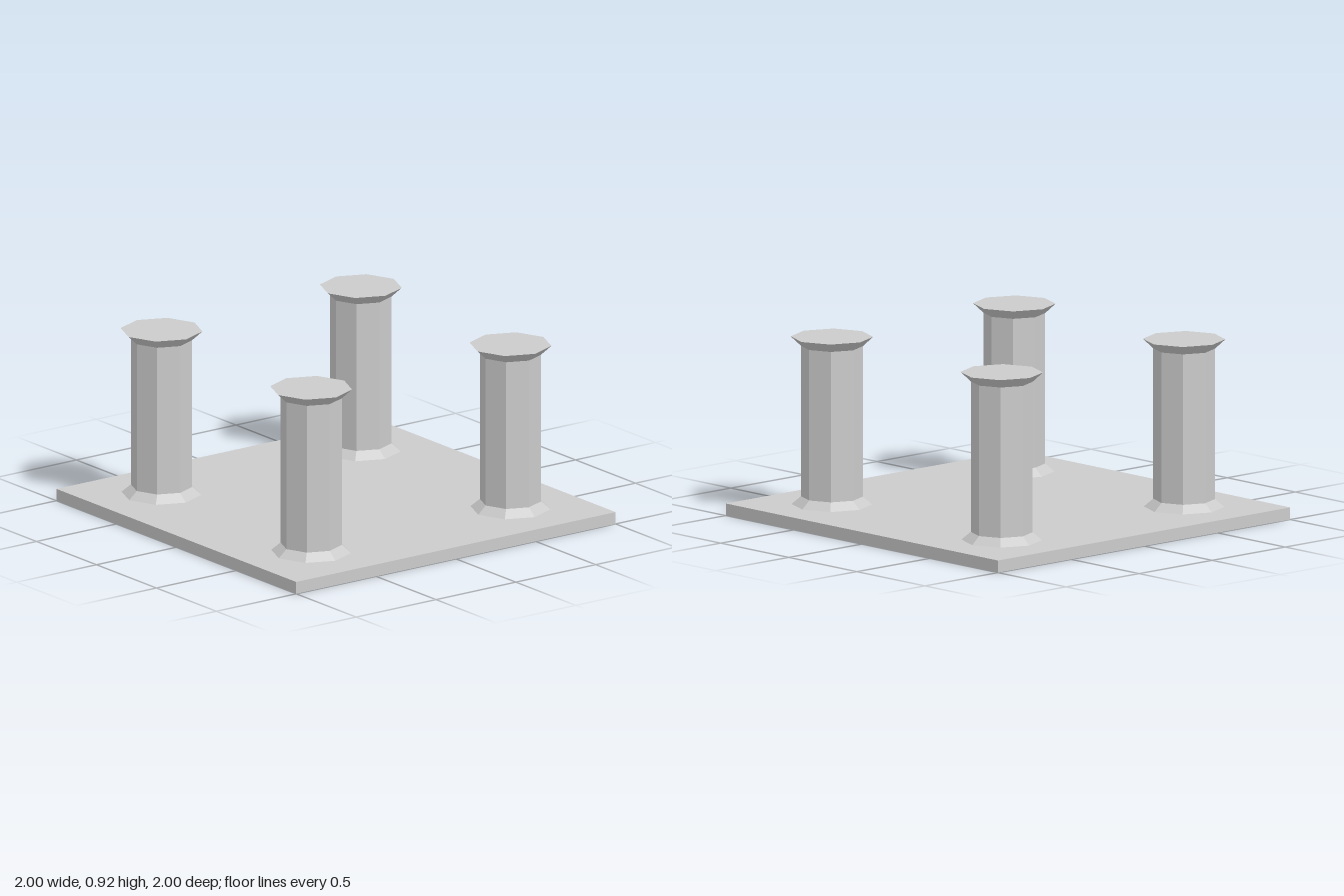
import * as THREE from 'three';

const material = new THREE.MeshStandardMaterial({ color: 0xcccccc, flatShading: true });

// Eight-sided section between two heights, open-ended unless capped
function section(name, rBottom, rTop, y0, y1, open) {
  const geometry = new THREE.CylinderGeometry(rTop, rBottom, y1 - y0, 8, 1, open);
  const mesh = new THREE.Mesh(geometry, material);
  mesh.name = name;
  mesh.position.y = (y0 + y1) / 2;
  return mesh;
}

function createPillar(name) {
  const pillar = new THREE.Group();
  pillar.name = name;
  pillar.add(
    section('pillarFoot', 0.202, 0.155, 0.062, 0.102, true),
    section('pillarShaft', 0.155, 0.155, 0.102, 0.87, true),
    section('pillarCapital', 0.155, 0.207, 0.87, 0.918, false)
  );
  return pillar;
}

export function createModel() {
  const model = new THREE.Group();
  model.name = 'pillaredPlatform';

  // Square floor slab
  const slab = new THREE.Mesh(new THREE.BoxGeometry(2, 0.062, 2), material);
  slab.name = 'floorSlab';
  slab.position.y = 0.031;
  model.add(slab);

  // One pillar near each corner
  for (const x of [-1, 1]) {
    for (const z of [-1, 1]) {
      const pillar = createPillar((z > 0 ? 'front' : 'back') + (x > 0 ? 'Left' : 'Right') + 'Pillar');
      pillar.position.set(x * 0.624, 0, z * 0.624);
      model.add(pillar);
    }
  }
  return model;
}
